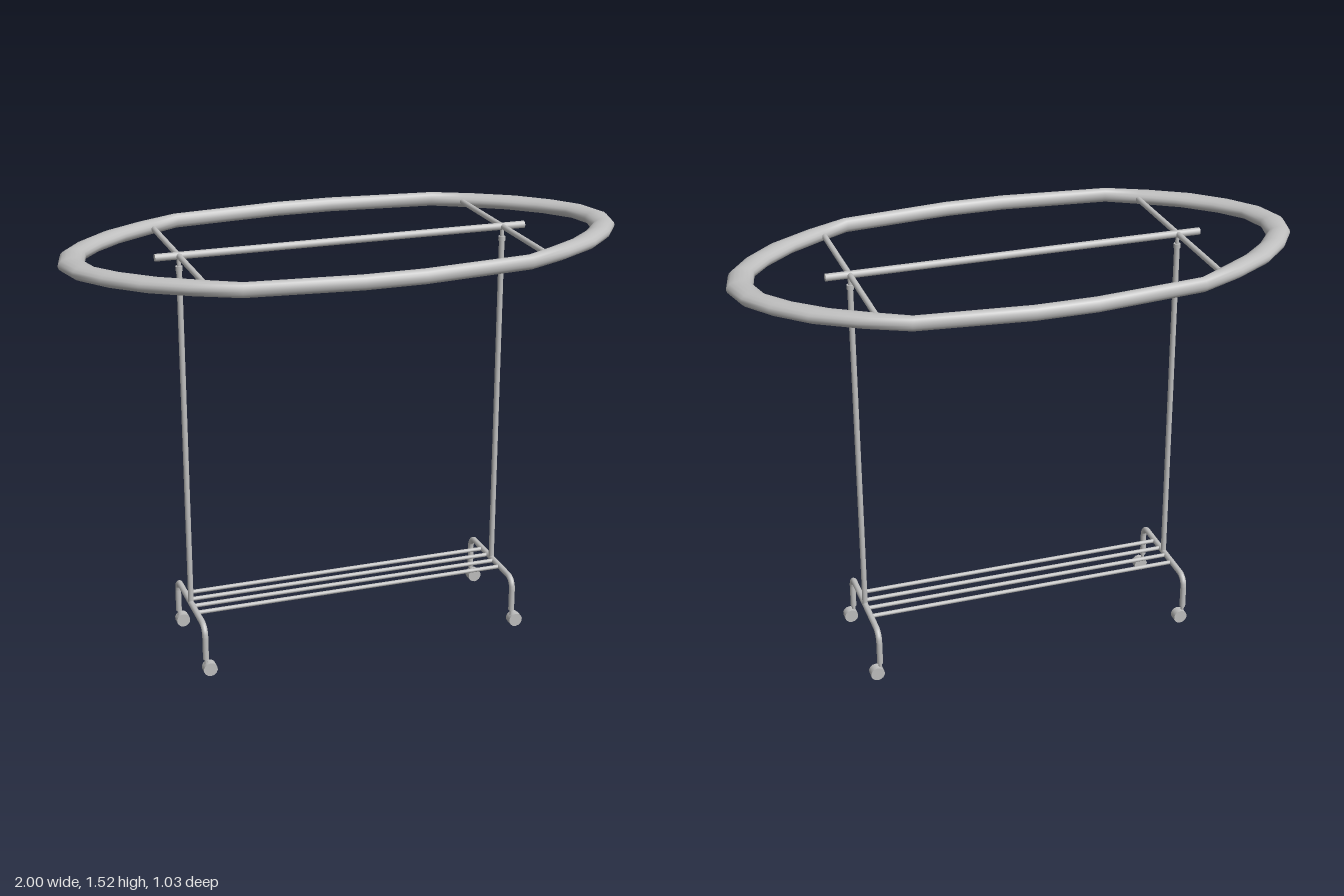
import * as THREE from 'three';

const metal = new THREE.MeshStandardMaterial({ color: 0xbfbfbf });
metal.name = 'satin metal';

function add(parent, name, geometry) {
  const mesh = new THREE.Mesh(geometry, metal);
  mesh.name = name;
  parent.add(mesh);
  return mesh;
}

// Straight round bar along one axis, centred on (x, y, z)
function bar(parent, name, axis, radius, length, x, y, z, sides = 16) {
  const mesh = add(parent, name, new THREE.CylinderGeometry(radius, radius, length, sides));
  if (axis === 'x') mesh.rotation.z = Math.PI / 2;
  if (axis === 'z') mesh.rotation.x = Math.PI / 2;
  mesh.position.set(x, y, z);
  return mesh;
}

// Stretched oval ring: [outer x, outer z, inner x, inner z] for one quarter, mirrored
function ringGeometry(y, halfHeight) {
  const quarter = [
    [1, 0, 0.909, 0], [0.973, 0.112, 0.884, 0.107], [0.904, 0.213, 0.81, 0.2],
    [0.8, 0.315, 0.705, 0.291], [0.66, 0.4, 0.583, 0.367],
    [0.5, 0.469, 0.487, 0.431], [0.107, 0.517, 0.105, 0.469],
  ];
  const flip = (list, sx, sz) => list.map(([a, b, c, d]) => [a * sx, b * sz, c * sx, d * sz]);
  const back = [...quarter].reverse();
  const loop = [
    ...quarter, ...flip(back, -1, 1),
    ...flip(quarter.slice(1), -1, -1), ...flip(back.slice(0, -1), 1, -1),
  ];
  const sides = 16, n = loop.length, positions = [], index = [];
  loop.forEach(([ox, oz, ix, iz], i) => {
    for (let j = 0; j < sides; j++) {
      const a = (j / sides) * Math.PI * 2, t = (1 + Math.cos(a)) / 2;
      positions.push(ix + (ox - ix) * t, y + halfHeight * Math.sin(a), iz + (oz - iz) * t);
      const i2 = (i + 1) % n, j2 = (j + 1) % sides;
      const p = i * sides + j, up = i * sides + j2;
      const next = i2 * sides + j, nextUp = i2 * sides + j2;
      index.push(p, up, next, up, nextUp, next);
    }
  });
  const g = new THREE.BufferGeometry();
  g.setAttribute('position', new THREE.Float32BufferAttribute(positions, 3));
  g.setIndex(index);
  g.computeVertexNormals();
  return g;
}

// Upside-down U foot: two legs joined by rounded bends
function footGeometry() {
  const w = 0.199, top = 0.19, r = 0.038, low = 0.065;
  const v = (y, z) => new THREE.Vector3(0, y, z);
  const path = new THREE.CurvePath();
  const points = [v(low, w), v(top - r, w)];
  for (let i = 1; i <= 6; i++) {
    const a = (i / 6) * Math.PI / 2;
    points.push(v(top - r + r * Math.sin(a), w - r + r * Math.cos(a)));
  }
  const all = [...points, ...[...points].reverse().map((p) => v(p.y, -p.z))];
  for (let i = 1; i < all.length; i++) path.add(new THREE.LineCurve3(all[i - 1], all[i]));
  return new THREE.TubeGeometry(path, 90, 0.011, 12, false);
}

export function createModel() {
  const model = new THREE.Group();
  model.name = 'clothesRack';

  // Oval hanging ring and the rail through its middle
  add(model, 'ovalRing', ringGeometry(1.49, 0.026));
  bar(model, 'topRail', 'x', 0.013, 1.345, -0.002, 1.49, 0);

  for (const [side, x] of [['right', -0.592], ['left', 0.587]]) {
    const frame = new THREE.Group();
    frame.name = side + 'Frame';
    frame.position.x = x;
    model.add(frame);

    // Upright pole with a small fitting under the rail
    bar(frame, 'crossBar', 'z', 0.01, 0.79, 0, 1.49, 0);
    bar(frame, 'pole', 'y', 0.01, 1.25, 0, 0.815, 0);
    bar(frame, 'poleCollar', 'y', 0.0125, 0.016, 0, 1.446, 0);
    bar(frame, 'poleFitting', 'y', 0.007, 0.05, 0, 1.464, 0);

    // Foot, closed at the leg ends, with two casters
    add(frame, 'foot', footGeometry());
    for (const z of [-0.199, 0.199]) {
      bar(frame, 'legCap', 'y', 0.011, 0.004, 0, 0.065, z, 12);
      bar(frame, 'casterStem', 'y', 0.006, 0.04, 0, 0.05, z, 10);
      bar(frame, 'casterWheel', 'z', 0.0255, 0.032, 0.013, 0.0255, z, 14);
    }
  }

  // Low shelf of four thin rods
  for (let i = 0; i < 4; i++) {
    bar(model, 'shelfRod', 'x', 0.0075, 1.18, -0.0025, 0.19, -0.083 + i * 0.0553, 12);
  }
  return model;
}
